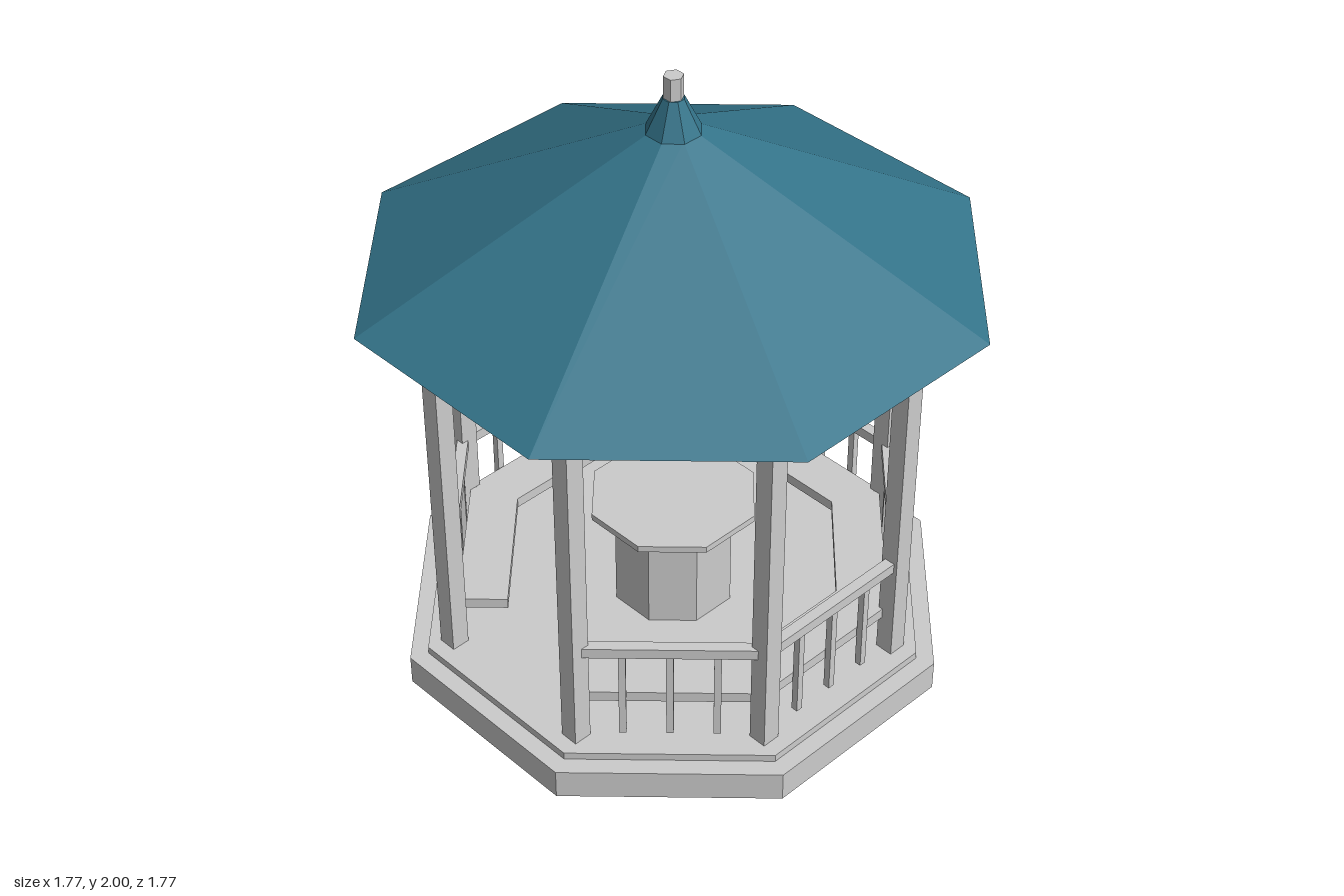
import * as THREE from 'three';

const SIDES = 8;
const STEP = (Math.PI * 2) / SIDES;
const grey = new THREE.MeshStandardMaterial({ color: 0xcccccc, flatShading: true });
const teal = new THREE.MeshStandardMaterial({ color: 0x34748a, flatShading: true });

function add(parent, name, geometry, x, y, z, material = grey) {
  const mesh = new THREE.Mesh(geometry, material);
  mesh.name = name;
  mesh.position.set(x, y, z);
  parent.add(mesh);
  return mesh;
}

// Octagonal prism or frustum with a flat face to the front; sizes are centre-to-face
function octagon(parent, name, bottom, top, y0, y1, material) {
  const k = 1 / Math.cos(STEP / 2);
  const geometry = new THREE.CylinderGeometry(top * k, bottom * k, y1 - y0, SIDES, 1, false, STEP / 2);
  return add(parent, name, geometry, 0, (y0 + y1) / 2, 0, material);
}

// Box spanning y0..y1
function block(parent, name, w, y0, y1, d, x, z) {
  return add(parent, name, new THREE.BoxGeometry(w, y1 - y0, d), x, (y0 + y1) / 2, z);
}

export function createModel() {
  const model = new THREE.Group();
  model.name = 'gazebo';

  // Stepped base
  octagon(model, 'base', 0.81, 0.81, 0, 0.1);
  octagon(model, 'floor', 0.755, 0.755, 0.1, 0.125);

  // Posts at the eight corners, square to the axes
  for (let i = 0; i < SIDES; i++) {
    const a = (i + 0.5) * STEP;
    block(model, 'post', 0.06, 0.125, 1.31, 0.06, 0.731 * Math.sin(a), 0.731 * Math.cos(a));
  }

  // Railing and bench on every side except the open front
  for (let i = 1; i < SIDES; i++) {
    const side = new THREE.Group();
    side.name = 'railingSide';
    side.rotation.y = i * STEP;
    block(side, 'handrail', 0.515, 0.455, 0.49, 0.035, 0, 0.676);
    block(side, 'benchSeat', 0.53, 0.25, 0.285, 0.155, 0, 0.583);
    for (const x of [-0.14, 0, 0.14]) {
      block(side, 'baluster', 0.022, 0.145, 0.455, 0.022, x, 0.676);
    }
    model.add(side);
  }

  // Central table
  octagon(model, 'tablePedestal', 0.18, 0.18, 0.125, 0.472);
  octagon(model, 'tableTop', 0.25, 0.25, 0.472, 0.494);

  // Ceiling slab, roof and cap
  octagon(model, 'ceiling', 0.8, 0.8, 1.31, 1.36);
  octagon(model, 'roof', 0.885, 0.07, 1.36, 1.828, teal);
  octagon(model, 'roofCap', 0.078, 0.03, 1.825, 1.93, teal);
  const finial = add(model, 'finial', new THREE.CylinderGeometry(0.03, 0.03, 0.075, 6), 0, 1.9625, 0);
  finial.rotation.y = Math.PI / 6;

  // Hanging lantern
  block(model, 'lanternRod', 0.013, 1.185, 1.31, 0.013, 0, 0);
  block(model, 'lantern', 0.07, 1.118, 1.188, 0.07, 0, 0);

  return model;
}
